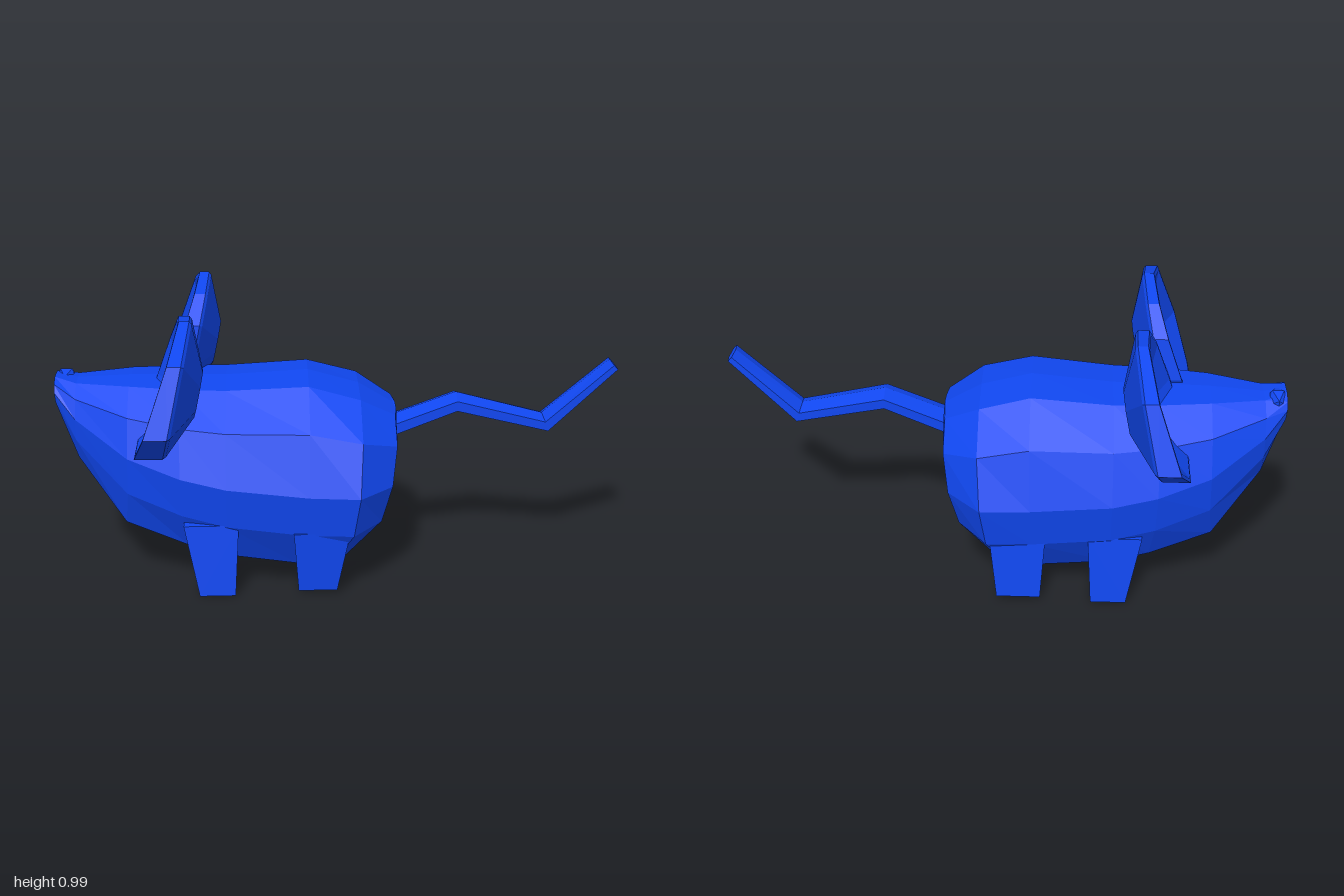
import * as THREE from 'three';

const blue = new THREE.MeshStandardMaterial({ color: 0x1047f0, flatShading: true });

// Closed solid through rings of [x, y, z] points; both ends are fanned to their centres
function loft(name, rings) {
  const n = rings[0].length;
  const centre = (r) => [0, 1, 2].map((k) => r.reduce((s, p) => s + p[k], 0) / n);
  const first = rings[0], last = rings[rings.length - 1];
  const a = centre(first), b = centre(last);
  let tris = [];
  for (let j = 0; j < n; j++) {
    const k = (j + 1) % n;
    tris.push([a, first[k], first[j]], [b, last[j], last[k]]);
    for (let i = 0; i + 1 < rings.length; i++) {
      const p = rings[i], q = rings[i + 1];
      tris.push([p[j], p[k], q[k]], [p[j], q[k], q[j]]);
    }
  }
  // Turn every face outward, whatever direction the rings run in
  let volume = 0;
  for (const [p, q, r] of tris) {
    volume += new THREE.Vector3(...p).dot(new THREE.Vector3(...q).cross(new THREE.Vector3(...r)));
  }
  if (volume < 0) tris = tris.map(([p, q, r]) => [p, r, q]);
  const geometry = new THREE.BufferGeometry();
  geometry.setAttribute('position', new THREE.Float32BufferAttribute(tris.flat(2), 3));
  geometry.computeVertexNormals();
  const mesh = new THREE.Mesh(geometry, blue);
  mesh.name = name;
  return mesh;
}

// Body: one half profile (width, height, share of the backward slant) scaled per section
function makeBody() {
  const profile = (base) => {
    const half = [[0, 1, 0], [0.42, 0.96, 0], [0.82, 0.6, 0], [1, 0, 0.1], [0.95, -0.5, 0.3], [base, -0.97, 1], [0, -1, 1]];
    return [...half, ...half.slice(1, -1).reverse().map(([w, h, s]) => [-w, h, s])];
  };
  // x at top, x at bottom, z centre, half width, y top, y middle, y bottom, base width share
  const sections = [
    [-0.997, -0.985, -0.025, 0.09, 0.705, 0.66, 0.59, 0.7],
    [-0.92, -0.92, -0.025, 0.15, 0.69, 0.58, 0.42, 0.7],
    [-0.73, -0.75, -0.015, 0.275, 0.70, 0.48, 0.21, 0.76],
    [-0.55, -0.53, -0.005, 0.34, 0.70, 0.43, 0.145, 0.78],
    [-0.39, -0.39, 0, 0.365, 0.70, 0.40, 0.11, 0.76],
    [-0.10, -0.15, 0.015, 0.385, 0.72, 0.38, 0.085, 0.74],
    [0.08, -0.03, 0.02, 0.4, 0.67, 0.38, 0.09, 0.74],
    [0.205, 0.02, 0.025, 0.28, 0.595, 0.38, 0.11, 0.98],
  ];
  const rings = sections.map(([xt, xb, zc, w, top, mid, bot, base]) => profile(base).map(([u, v, s]) => [
    xt + (xb - xt) * s, mid + v * (v > 0 ? top - mid : mid - bot), zc + u * w,
  ]));
  // Rump closed by horizontal strips that meet on the centre line
  const rump = rings[rings.length - 1];
  const strips = (share, bulge) => rump.map(([x, y, z]) => [x + bulge, y, 0.025 + (z - 0.025) * share]);
  return loft('body', [...rings, strips(0.5, 0.008), strips(0, 0.008)]);
}

// Ear: dished leaf, thicker towards the bottom, bulging at the back
function makeEar(name, side, shift, lift) {
  const outline = [[0, 0.71], [0.02, 0.86], [0.12, 0.95], [0.31, 0.985], [0.56, 0.905], [0.638, 0.685], [0.45, 0.55], [0.2, 0.535], [0.05, 0.6]];
  // The front and back faces lean by different slopes
  const ring = (scale, x, slope) => outline.map(([z, y]) => {
    const yy = 0.71 + (y - 0.71) * scale;
    return [x + (yy - 0.98) * slope + shift, yy + lift, side * (0.28 + (z - 0.28) * scale)];
  });
  const front = 0.36, back = 0.22;
  return loft(name, [
    ring(0.4, -0.465, front), ring(0.94, -0.535, front), ring(1, -0.535, front),
    ring(1, -0.5, back), ring(0.96, -0.49, back), ring(0.33, -0.42, back),
  ]);
}

// Leg: four-sided, tapering towards the foot
function makeLeg(name, side, top, bottom) {
  const ring = ([x0, x1, z0, z1, y]) => [[x0, z0], [x1, z0], [x1, z1], [x0, z1]].map(([x, z]) => [x, y, side * z]);
  return loft(name, [ring(top), ring(bottom)]);
}

// Tail: bent six-sided rod
function makeTail() {
  // x, y, z, thickness, half width, lean of the ring
  const path = [
    [0.16, 0.495, 0.03, 0.038, 0.065, -0.3],
    [0.43, 0.60, 0.04, 0.036, 0.062, 0],
    [0.75, 0.525, 0.06, 0.036, 0.058, -0.3],
    [0.985, 0.745, 0.075, 0.021, 0.05, -0.75],
  ];
  return loft('tail', path.map(([x, y, z, t, w, lean]) => Array.from({ length: 6 }, (_, i) => {
    const a = (i + 0.5) * Math.PI / 3, up = Math.sin(a) * t;
    return [x + up * Math.sin(lean), y + up * Math.cos(lean), z + Math.cos(a) * w * 1.15];
  })));
}

export function createModel() {
  const model = new THREE.Group();
  model.name = 'mouse';
  model.add(makeBody(), makeTail());
  for (const [label, side, earShift, earLift, s] of [['left', 1, 0, 0, 0], ['right', -1, 0.045, 0.014, 0.04]]) {
    model.add(makeEar(label + 'Ear', side, earShift, earLift));
    model.add(makeLeg(label + 'FrontLeg', side,
      [-0.54 + s, -0.35 + s, 0.25, 0.345, 0.26], [-0.49 + s, -0.365 + s, 0.235, 0.37, 0.005]));
    model.add(makeLeg(label + 'RearLeg', side,
      [-0.16, 0.035, 0.27, side > 0 ? 0.385 : 0.35, 0.24], [-0.145, -0.01 + s / 2, 0.25, 0.37, 0.02]));
  }
  // Small faceted nose
  const nose = new THREE.Mesh(new THREE.IcosahedronGeometry(0.05, 0), blue);
  nose.name = 'nose';
  nose.position.set(-0.965, 0.668, -0.06);
  nose.scale.set(0.8, 1, 1.2);
  model.add(nose);
  return model;
}
